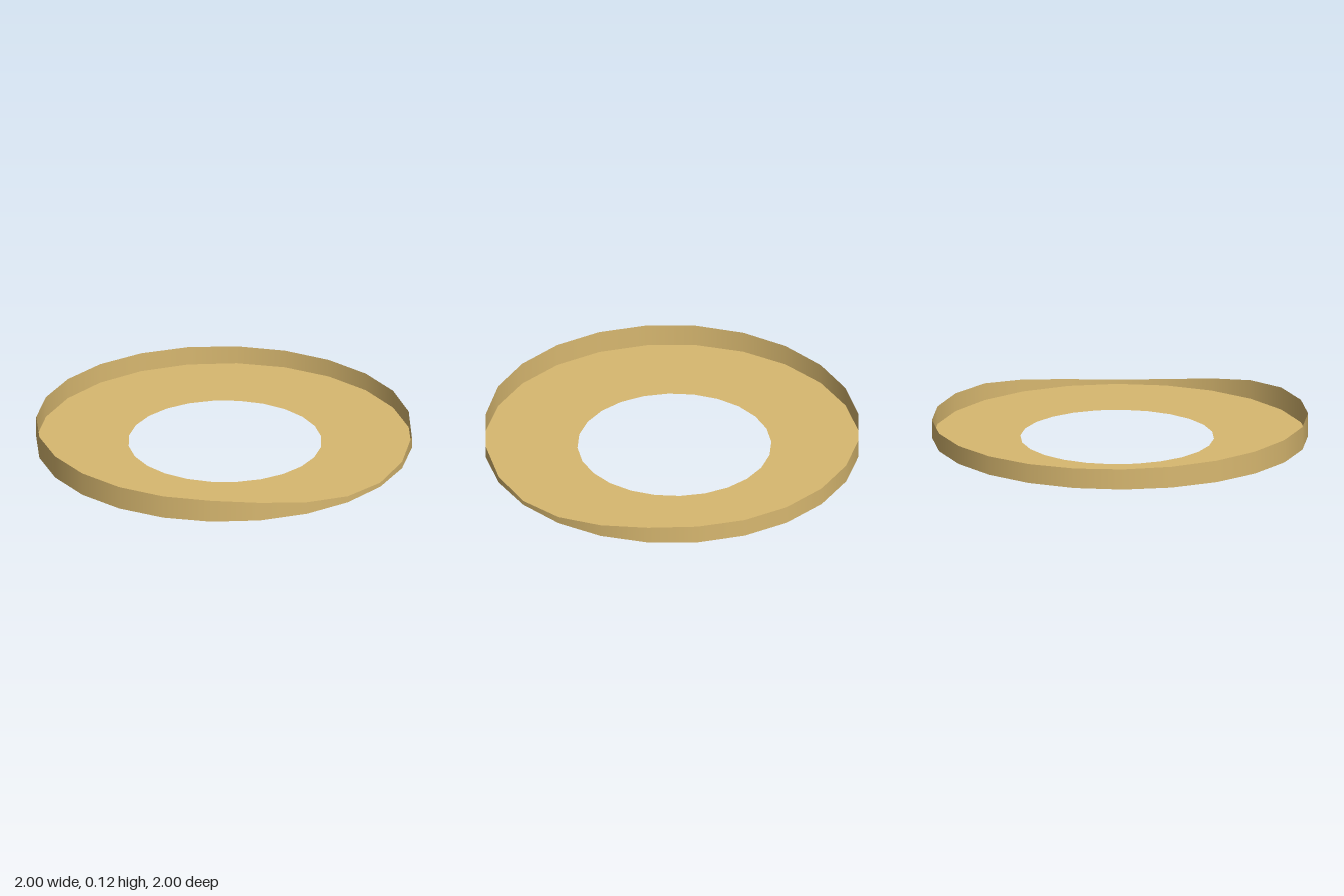
import * as THREE from 'three';

const SIDES = 24;
const PHASE = 0.05;

// Regular polygon in the ground plane (shape y becomes -z)
function polygon(radius, cx, cz, phase) {
  const points = [];
  for (let i = 0; i < SIDES; i++) {
    const a = phase + (i / SIDES) * Math.PI * 2;
    points.push(new THREE.Vector2(cx + radius * Math.sin(a), -(cz + radius * Math.cos(a))));
  }
  return points;
}

// Rim height: gently sloping front to back, with a smooth dip on the +x side
function rimHeight(x, z) {
  const angle = Math.abs(Math.atan2(z, x));
  const dip = angle < Math.PI / 3 ? 0.087 * Math.cos(angle * 1.5) ** 2 : 0;
  return 0.111 + 0.014 * z - dip;
}

export function createModel() {
  const group = new THREE.Group();
  group.name = 'rimmedRing';
  const material = new THREE.MeshStandardMaterial({ color: 0xd8b870, side: THREE.DoubleSide });

  // Flat ring with a slightly off-centre hole
  const shape = new THREE.Shape(polygon(1, 0, 0, PHASE));
  shape.holes.push(new THREE.Path(polygon(0.515, -0.005, -0.015, -0.025)));
  const base = new THREE.Mesh(new THREE.ShapeGeometry(shape).rotateX(-Math.PI / 2), material);
  base.name = 'flatRing';

  // Thin upright wall around the outside edge
  const wallGeometry = new THREE.CylinderGeometry(1, 1, 1, SIDES, 1, true, PHASE);
  const p = wallGeometry.attributes.position;
  for (let i = 0; i < p.count; i++) {
    p.setY(i, p.getY(i) > 0 ? rimHeight(p.getX(i), p.getZ(i)) : 0);
  }
  const wall = new THREE.Mesh(wallGeometry, material);
  wall.name = 'outerRim';

  group.add(base, wall);
  return group;
}
